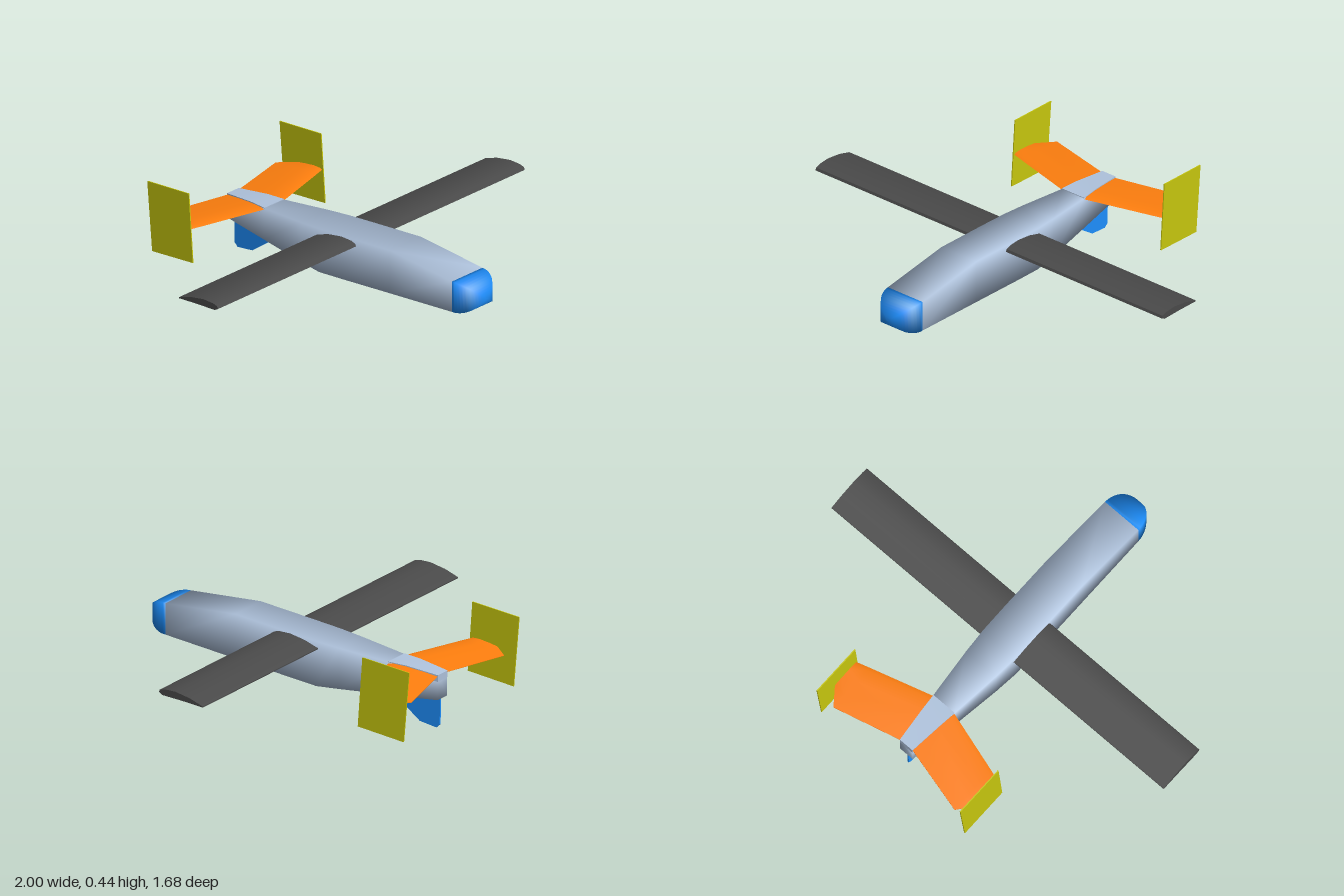
import * as THREE from 'three';
import { toCreasedNormals } from 'three/addons/utils/BufferGeometryUtils.js';

const GREY = 0xb0c4de, BLUE = 0x1e90ff, DARK = 0x4a4a4a, ORANGE = 0xff7f0e, YELLOW = 0xc8c80e;

// Closed skin through a list of rings, each a list of [x, y, z], with flat end caps
function loft(rings, crease) {
  const n = rings[0].length, last = (rings.length - 1) * n;
  const index = [];
  for (let r = 0; r < rings.length - 1; r++) {
    for (let i = 0; i < n; i++) {
      const a = r * n + i, b = r * n + (i + 1) % n;
      index.push(a, b, b + n, a, b + n, a + n);
    }
  }
  for (let i = 1; i < n - 1; i++) {
    index.push(0, i + 1, i, last, last + i, last + i + 1);
  }
  // Turn the faces outward whichever way the rings run
  const pts = rings.flat().map((p) => new THREE.Vector3(...p));
  let volume = 0;
  for (let i = 0; i < index.length; i += 3) {
    const [a, b, c] = [pts[index[i]], pts[index[i + 1]], pts[index[i + 2]]];
    volume += a.dot(b.clone().cross(c));
  }
  if (volume < 0) index.reverse();
  const geo = new THREE.BufferGeometry().setFromPoints(pts);
  geo.setIndex(index);
  return toCreasedNormals(geo, crease);
}

function part(name, geo, color) {
  const mesh = new THREE.Mesh(geo, new THREE.MeshStandardMaterial({ color }));
  mesh.name = name;
  return mesh;
}

// Rectangular section across z
const box = ([z, w, y0, y1]) => [[-w, y0, z], [w, y0, z], [w, y1, z], [-w, y1, z]];

// Thin upright plate from a [z, y] outline
const plate = (outline, x, t) =>
  loft([-t / 2, t / 2].map((d) => outline.map(([z, y]) => [x + d, y, z])), 0.5);

export function createModel() {
  const model = new THREE.Group();
  model.name = 'aircraft';

  // Fuselage: z, half width, bottom, top
  const stations = [
    [0.72, 0.1, 0.17, 0.32], [0.34, 0.1, 0.138, 0.35], [0.05, 0.1, 0.113, 0.326],
    [-0.1, 0.098, 0.1, 0.314], [-0.22, 0.09, 0.109, 0.304],
    [-0.47, 0.064, 0.128, 0.283], [-0.72, 0.038, 0.147, 0.263],
  ];
  model.add(part('fuselage', loft(stations.map(box), 1.75), GREY));

  // Nose: the front section shrinking along an elliptical curve
  const nose = [];
  for (let i = 0; i <= 12; i++) {
    const a = (i / 12) * 1.54, s = Math.cos(a);
    nose.push(box([0.72 + 0.123 * Math.sin(a), 0.1 * s, 0.245 - 0.075 * s, 0.245 + 0.075 * s]));
  }
  model.add(part('nose', loft(nose, 1.75), BLUE));

  // Straight wing with a tilted airfoil section, in one span
  const airfoil = [
    [0.13, 0.302], [0.125, 0.314], [0.1, 0.321], [0.04, 0.322], [-0.04, 0.307],
    [-0.11, 0.283], [-0.11, 0.278], [0.0, 0.286], [0.11, 0.291],
  ];
  model.add(part('wing', loft([-1, 1].map((x) => airfoil.map(([z, y]) => [x, y, z])), 0.7), DARK));

  // Tailplane halves: x, leading edge z, trailing edge z
  const tailStations = [[0.03, -0.46, -0.718], [0.365, -0.558, -0.803], [0.43, -0.578, -0.72]];
  const tailSection = [[0, 0], [0.08, 0.006], [0.35, 0.009], [0.7, 0.006], [1, 0.001],
    [1, -0.001], [0.6, -0.005], [0.15, -0.006]];
  // Upright end fins: z, y
  const finOutline = [[-0.585, 0.445], [-0.84, 0.425], [-0.81, 0.088], [-0.56, 0.11]];
  for (const [side, s] of [['left', 1], ['right', -1]]) {
    const rings = tailStations.map(([x, z0, z1]) => tailSection.map(([t, dy]) => {
      const z = z0 + (z1 - z0) * t;
      return [s * x, 0.277 + 0.07 * (z + 0.47) + dy, z];
    }));
    model.add(part(side + 'Tailplane', loft(rings, 0.5), ORANGE));
    model.add(part(side + 'EndFin', plate(finOutline, s * 0.431, 0.005), YELLOW));
  }

  // Deck covering the joint of the tailplane halves
  const deck = [[-0.468, 0.064, 0.26, 0.286], [-0.56, 0.055, 0.25, 0.284], [-0.722, 0.038, 0.235, 0.267]];
  model.add(part('tailDeck', loft(deck.map(box), 0.5), GREY));

  // Fin under the tail
  const ventral = [[-0.43, 0.135], [-0.6, 0.012], [-0.69, 0], [-0.708, 0.018], [-0.71, 0.16]];
  model.add(part('ventralFin', plate(ventral, 0, 0.008), BLUE));

  return model;
}
